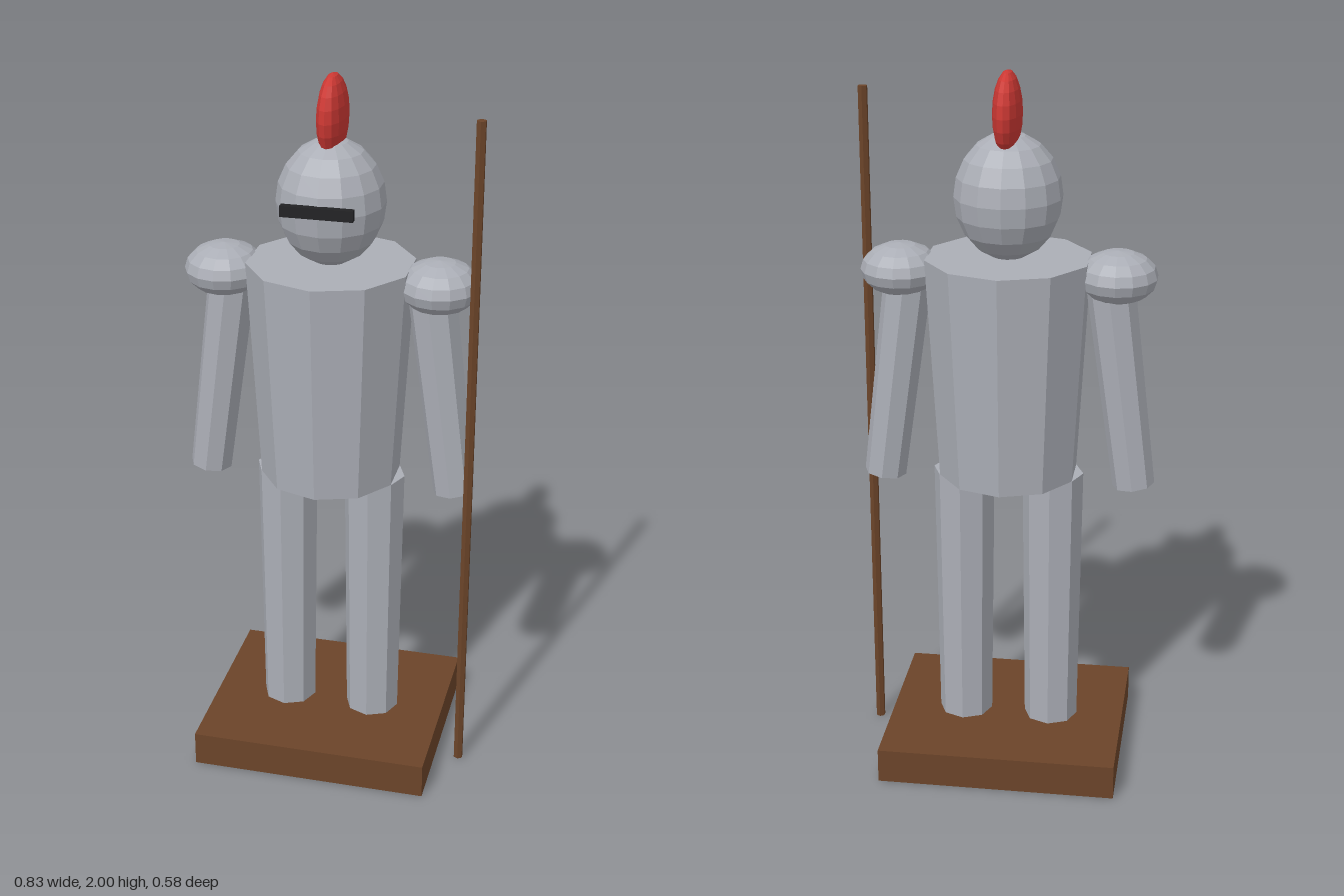
import * as THREE from 'three';

function material(name, color) {
  const m = new THREE.MeshStandardMaterial({ color, flatShading: true });
  m.name = name;
  return m;
}

export function createModel() {
  const steel = material('steel', 0xabaeb6);
  const wood = material('wood', 0x6b4429);
  const red = material('plume red', 0xcc3833);
  const dark = material('visor black', 0x222224);

  const model = new THREE.Group();
  model.name = 'armourStatue';
  const figure = new THREE.Group();
  figure.name = 'figure';
  figure.position.x = -0.003;
  model.add(figure);

  function add(name, geometry, mat, x, y, z, parent = figure) {
    const mesh = new THREE.Mesh(geometry, mat);
    mesh.name = name;
    mesh.position.set(x, y, z);
    parent.add(mesh);
    return mesh;
  }
  // Faceted ellipsoid with a vertex row facing front and back
  function ellipsoid(rx, ry, rz, segments, rings) {
    return new THREE.SphereGeometry(1, segments, rings).rotateY(Math.PI / 2).scale(rx, ry, rz);
  }

  // Plinth
  add('plinth', new THREE.BoxGeometry(0.675, 0.1, 0.58), wood, 0, 0.05, 0);

  // Body
  add('torso', new THREE.CylinderGeometry(0.23, 0.195, 0.625, 10), steel, 0, 1.182, 0);

  // Limbs and shoulder guards
  for (const [side, s] of [['left', 1], ['right', -1]]) {
    add(side + 'Leg', new THREE.CylinderGeometry(0.086, 0.077, 0.77, 8), steel, s * 0.126, 0.485, 0);
    const arm = add(side + 'Arm', new THREE.CylinderGeometry(0.067, 0.059, 0.6, 8), steel, s * 0.314, 1.145, 0);
    arm.rotation.z = s * 0.13;
    add(side + 'Shoulder', ellipsoid(0.109, 0.072, 0.114, 14, 8), steel, s * 0.297, 1.45, 0);
  }

  // Helmet, eye slit and crest
  add('helmet', ellipsoid(0.147, 0.172, 0.153, 14, 10), steel, 0, 1.662, -0.002);
  add('eyeSlit', new THREE.BoxGeometry(0.194, 0.03, 0.019), dark, 0, 1.68, 0.153);
  add('plume', ellipsoid(0.039, 0.113, 0.096, 14, 10), red, 0, 1.887, -0.021);

  // Pole standing beside the left hand
  add('pole', new THREE.CylinderGeometry(0.0135, 0.0135, 1.93, 6), wood, 0.402, 0.965, 0.076, model);

  return model;
}
